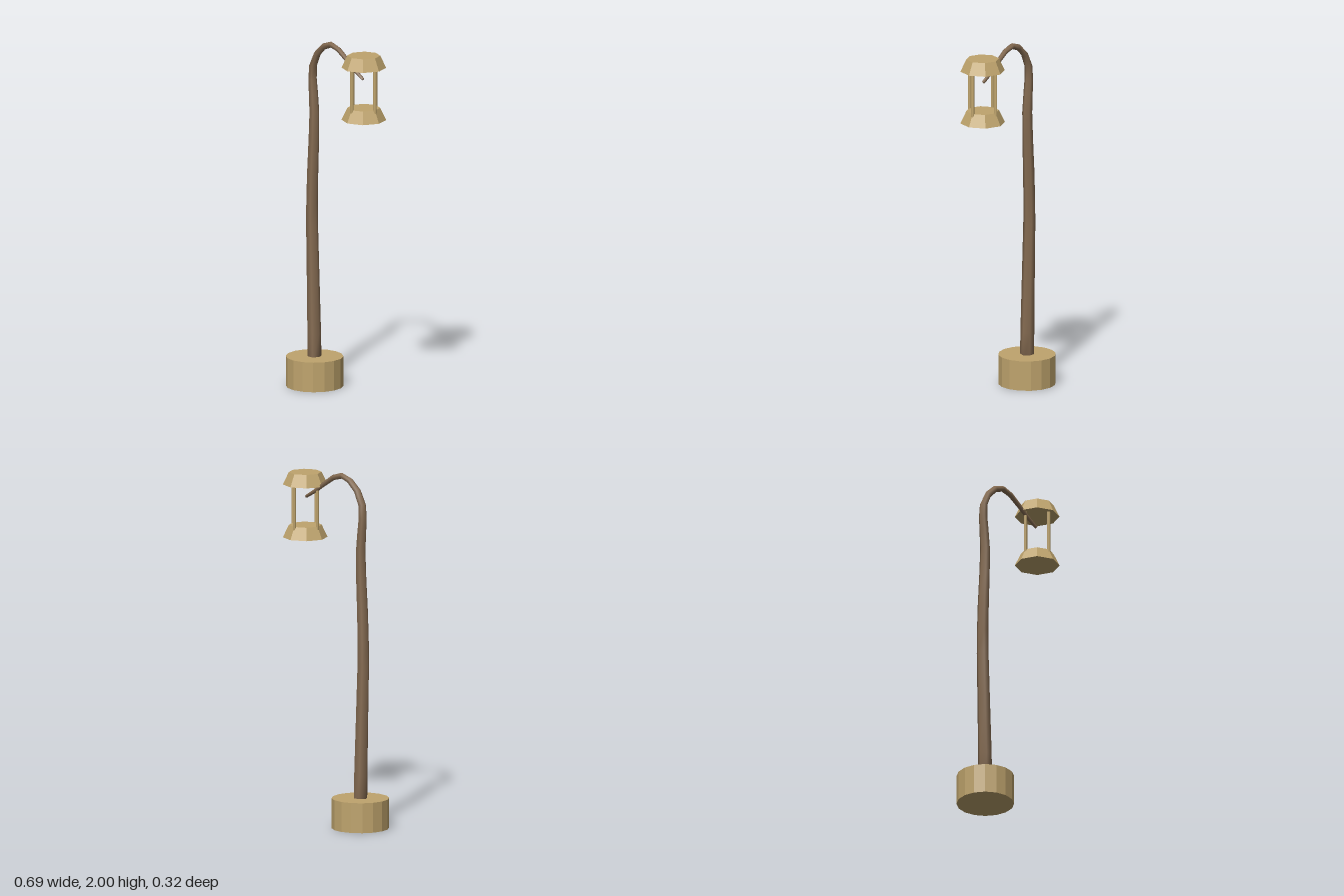
import * as THREE from 'three';

export function createModel() {
  const group = new THREE.Group();
  const tan = new THREE.MeshStandardMaterial({ color: 0xbfa46d });
  tan.name = 'sandy tan';
  const wood = new THREE.MeshStandardMaterial({ color: 0x866c52 });
  wood.name = 'weathered brown';

  // Faceted cylinder or frustum standing on height y
  function prism(name, rTop, rBottom, height, sides, x, y, z = 0) {
    const geo = new THREE.CylinderGeometry(rTop, rBottom, height, sides).toNonIndexed();
    geo.computeVertexNormals();
    const mesh = new THREE.Mesh(geo, tan);
    mesh.name = name;
    mesh.position.set(x, y + height / 2, z);
    return mesh;
  }

  // Tapered six-sided tube through [x, y, radius] stations, with closed ends
  function taperedPole(stations, sides = 6) {
    const pos = [], index = [];
    const last = stations.length - 1;
    stations.forEach(([x, y, r], i) => {
      const a = stations[Math.max(i - 1, 0)], b = stations[Math.min(i + 1, last)];
      const t = new THREE.Vector2(b[0] - a[0], b[1] - a[1]).normalize();
      for (let k = 0; k < sides; k++) {
        const ang = (k / sides) * Math.PI * 2;
        const n = Math.cos(ang) * r;
        pos.push(x + t.y * n, y - t.x * n, -Math.sin(ang) * r);
        if (i < last) {
          const p = i * sides + k, q = i * sides + (k + 1) % sides;
          index.push(p, q, q + sides, p, q + sides, p + sides);
        }
      }
    });
    for (let k = 1; k < sides - 1; k++) {
      const e = last * sides;
      index.push(0, k + 1, k, e, e + k, e + k + 1);
    }
    const geo = new THREE.BufferGeometry();
    geo.setAttribute('position', new THREE.Float32BufferAttribute(pos, 3));
    geo.setIndex(index);
    geo.computeVertexNormals();
    return geo;
  }

  // Round footing
  group.add(prism('base', 0.161, 0.161, 0.17, 16, -0.187, 0));

  // Crooked post bending over into the arm
  const pole = new THREE.Mesh(taperedPole([
    [-0.187, 0.1, 0.04], [-0.19, 0.3, 0.039], [-0.2, 0.65, 0.036],
    [-0.208, 0.92, 0.034], [-0.208, 1.05, 0.033], [-0.203, 1.22, 0.032],
    [-0.193, 1.42, 0.03], [-0.189, 1.57, 0.028], [-0.197, 1.68, 0.026],
    [-0.204, 1.76, 0.024], [-0.2, 1.835, 0.022], [-0.165, 1.91, 0.02],
    [-0.11, 1.962, 0.018], [-0.05, 1.983, 0.017], [0.013, 1.965, 0.015],
    [0.08, 1.92, 0.013], [0.145, 1.873, 0.011], [0.213, 1.832, 0.009],
  ]), wood);
  pole.name = 'curvedPole';
  group.add(pole);

  // Hanging lantern: two octagonal frustums joined by four thin rods
  const lantern = new THREE.Group();
  lantern.name = 'lantern';
  lantern.position.set(0.221, 0, 0);
  lantern.add(prism('lanternRoof', 0.092, 0.125, 0.07, 8, 0, 1.9));
  lantern.add(prism('lanternFloor', 0.092, 0.125, 0.07, 8, 0, 1.6));
  for (let i = 0; i < 4; i++) {
    const a = (i * Math.PI) / 2;
    lantern.add(prism('lanternRod', 0.009, 0.009, 0.27, 8,
      Math.cos(a) * 0.091, 1.64, Math.sin(a) * 0.091));
  }
  group.add(lantern);

  return group;
}
